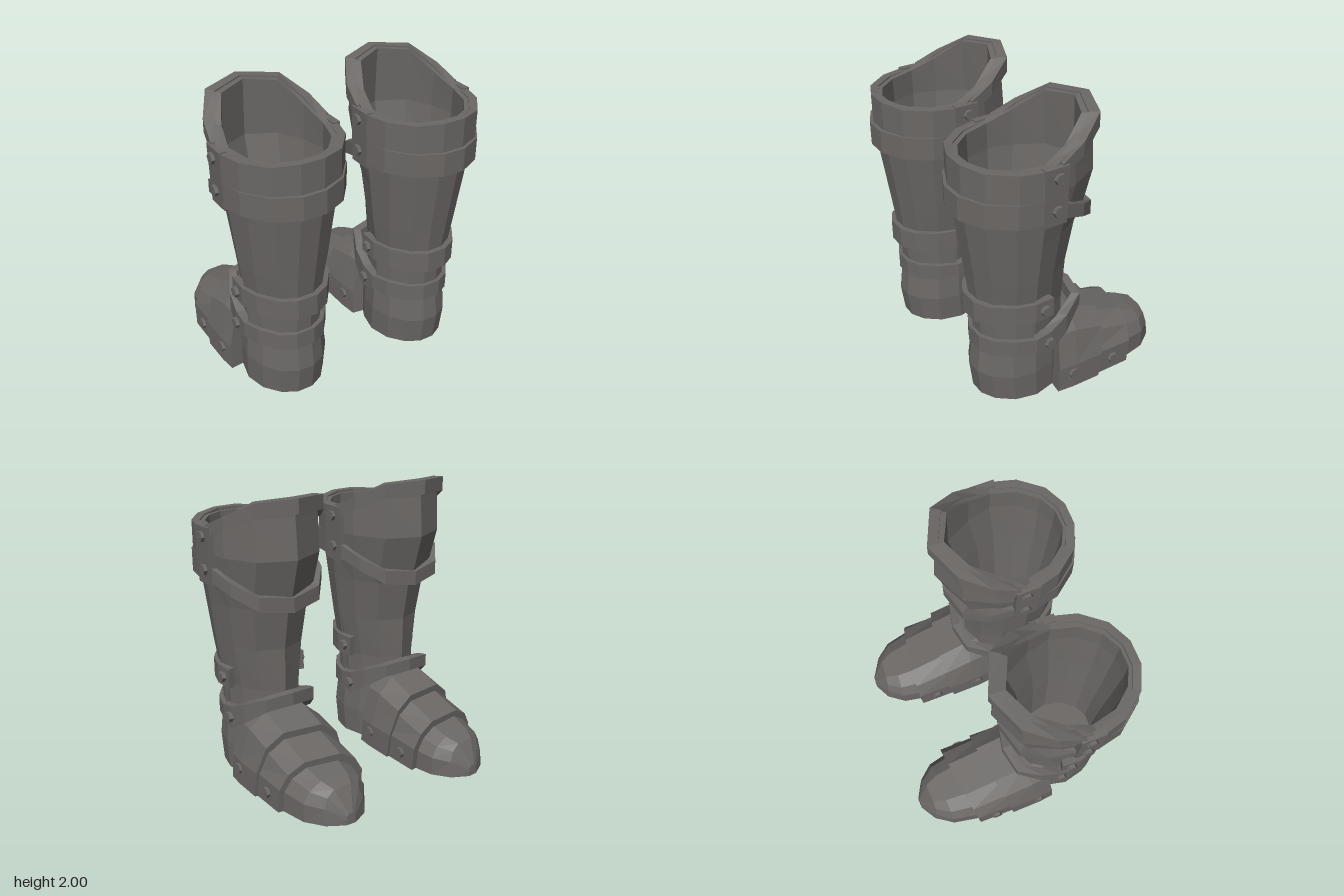
import * as THREE from 'three';

const iron = new THREE.MeshStandardMaterial({ color: 0x6a6765 });
iron.name = 'dark iron';

// Closed solid through a list of equal cross-sections; capped, or joined end to end when ring is true
function loft(name, sections, ring = false) {
  const m = sections.length, n = sections[0].length, tris = [];
  for (let i = 0; i < (ring ? m : m - 1); i++) {
    const A = sections[i], B = sections[(i + 1) % m];
    for (let j = 0; j < n; j++) {
      const k = (j + 1) % n;
      tris.push([A[j], A[k], B[k]], [A[j], B[k], B[j]]);
    }
  }
  if (!ring) {
    const cap = (s, flip) => {
      const c = [0, 1, 2].map(q => s.reduce((t, p) => t + p[q], 0) / n);
      s.forEach((p, j) => {
        const r = s[(j + 1) % n];
        tris.push(flip ? [c, r, p] : [c, p, r]);
      });
    };
    cap(sections[0], true);
    cap(sections[m - 1], false);
  }
  // Turn the faces outwards using the signed volume
  let volume = 0;
  for (const [a, b, c] of tris) {
    volume += a[0] * (b[1] * c[2] - b[2] * c[1]) + a[1] * (b[2] * c[0] - b[0] * c[2])
      + a[2] * (b[0] * c[1] - b[1] * c[0]);
  }
  const ordered = volume < 0 ? tris.map(([a, b, c]) => [a, c, b]) : tris;
  const geometry = new THREE.BufferGeometry();
  geometry.setAttribute('position', new THREE.Float32BufferAttribute(ordered.flat(2), 3));
  geometry.computeVertexNormals();
  const mesh = new THREE.Mesh(geometry, iron);
  mesh.name = name;
  return mesh;
}

// Other half of a path on +x, in reverse; a point on the centre line is kept once
const reflected = half => half.filter(p => p[0] !== 0).map(p => [-p[0], ...p.slice(1)]).reverse();
const aroundBack = half => [...half, ...reflected(half)];
const acrossFront = half => [...reflected(half), ...half];

// Outline of the leg: peaked at the shin, rounded at the calf
const OUTLINE = [[0, -1], [0.6, -0.77], [0.88, -0.32], [1, 0.1], [0.87, 0.53], [0.56, 0.84], [0.2, 0.99]];

// Ring with half width a between zf and zb; y is a number or one height per outline point
function legRing(y, a, zf, zb) {
  const c = (zf + zb) / 2, b = (zb - zf) / 2;
  return aroundBack(OUTLINE.map(([u, v], i) => [u * a, Array.isArray(y) ? y[i] : y, c + v * b]));
}

// Flat strap along points [x, z, yLow, yHigh]
function strap(name, path, thickness, ring = false) {
  return loft(name, path.map(([x, z, lo, hi]) => {
    const d = Math.hypot(x, z - 0.3);
    const xi = x - thickness * x / d, zi = z - thickness * (z - 0.3) / d;
    return [[x, lo, z], [x, hi, z], [xi, hi, zi], [xi, lo, zi]];
  }), ring);
}

// Arched foot plate through stations [zBottom, zTop, halfWidth, height], skewed towards the inner side
function footPlate(name, stations, skew) {
  return loft(name, stations.map(([z0, z1, w, h]) =>
    aroundBack([[w, 0], [w * 0.99, Math.min(0.18, h * 0.5)], [w * 0.8, h * 0.8], [w * 0.43, h]])
      .map(([x, y]) => [x, y, z0 + (z1 - z0) * y / h + skew * x])));
}

function bolt(x, y, z) {
  const g = new THREE.CylinderGeometry(0.036, 0.04, 0.05, 6).toNonIndexed();
  g.computeVertexNormals();
  g.rotateZ(-Math.sign(x) * Math.PI / 2);
  const mesh = new THREE.Mesh(g, iron);
  mesh.position.set(x, y, z);
  mesh.name = 'bolt';
  return mesh;
}

function createBoot(side) {
  const boot = new THREE.Group();
  boot.name = side > 0 ? 'leftBoot' : 'rightBoot';

  // Hollow leg: up the outside, over the flared knee cuff and down the lining to the insole
  const rimY = [1.99, 1.97, 1.85, 1.78, 1.77, 1.77, 1.77];
  boot.add(loft('hollowLeg', [
    legRing(0.3, 0.26, -0.02, 0.61), legRing(0.5, 0.245, -0.005, 0.6),
    legRing(0.65, 0.25, -0.005, 0.61), legRing(0.95, 0.3, -0.01, 0.65),
    legRing(1.25, 0.34, -0.065, 0.69),
    legRing([1.29, 1.32, 1.4, 1.45, 1.45, 1.45, 1.45], 0.375, -0.1, 0.72),
    legRing(1.6, 0.396, -0.19, 0.745),
    legRing([1.88, 1.87, 1.78, 1.72, 1.7, 1.7, 1.7], 0.398, -0.17, 0.75),
    legRing(rimY, 0.398, -0.175, 0.75),
    legRing(rimY, 0.325, -0.1, 0.685),
    legRing(1.6, 0.33, -0.11, 0.68),
    legRing(1.25, 0.295, -0.025, 0.645),
    legRing(0.95, 0.262, 0.015, 0.61),
    legRing(0.55, 0.225, 0.02, 0.575)]));

  // Calf shell over the rear half
  const calfLevels = [[0.4, 0.26, 0.622], [0.65, 0.262, 0.635], [0.95, 0.31, 0.672], [1.45, 0.372, 0.74]];
  const calf = aroundBack([[1, 0.36], ...OUTLINE.slice(4)]);
  boot.add(loft('calfShell', calf.map(([u, v]) => {
    const at = inset => calfLevels.map(([y, a, zb]) => {
      const z = v === 0.36 ? 0.36 : 0.3 + (v - 0.05) / 0.94 * (zb - 0.3) - inset;
      return [u * (a - inset), y, z];
    });
    return [...at(0), ...at(0.02).reverse()];
  })));

  // Trims and collar around the cuff
  boot.add(strap('rimTrim', acrossFront([[0, -0.21, 1.9, 2], [0.26, -0.1, 1.88, 1.98],
    [0.37, 0.09, 1.79, 1.88], [0.405, 0.26, 1.72, 1.8]]), 0.07));
  boot.add(strap('kneeTrim', acrossFront([[0, -0.14, 1.24, 1.34], [0.23, -0.085, 1.27, 1.37],
    [0.35, 0.06, 1.36, 1.45], [0.4, 0.25, 1.43, 1.53]]), 0.06));
  boot.add(strap('upperCollar', aroundBack([[0.405, 0.385, 1.58, 1.78], [0.365, 0.53, 1.58, 1.78],
    [0.24, 0.685, 1.58, 1.78], [0.08, 0.755, 1.58, 1.79]]), 0.055));
  boot.add(strap('lowerCollar', aroundBack([[0.403, 0.385, 1.43, 1.59], [0.37, 0.54, 1.43, 1.59],
    [0.245, 0.7, 1.43, 1.59], [0.08, 0.78, 1.43, 1.59]]), 0.06));

  // Calf strap and slanted ankle strap
  boot.add(strap('calfStrap', aroundBack([[0.305, 0.23, 0.65, 0.79], [0.31, 0.37, 0.65, 0.79],
    [0.27, 0.5, 0.65, 0.79], [0.175, 0.63, 0.645, 0.79], [0.07, 0.685, 0.64, 0.79]]), 0.05));
  boot.add(strap('ankleStrap', aroundBack([[0, -0.1, 0.57, 0.66], [0.19, -0.06, 0.55, 0.64],
    [0.27, 0.1, 0.43, 0.57], [0.295, 0.24, 0.345, 0.51], [0.295, 0.35, 0.38, 0.49],
    [0.255, 0.48, 0.38, 0.5], [0.165, 0.6, 0.38, 0.5], [0.065, 0.65, 0.38, 0.5]]), 0.06, true));

  // Heel
  boot.add(loft('heel', [legRing(0, 0.272, -0.05, 0.64), legRing(0.2, 0.28, -0.05, 0.665),
    legRing(0.42, 0.262, -0.03, 0.635)]));

  // Forefoot: two overlapping plates and the toe cap
  const foot = new THREE.Group();
  foot.name = 'forefoot';
  foot.position.x = side * 0.02;
  const skew = side * 0.14;
  foot.add(footPlate('instepPlate', [[0.15, 0.12, 0.31, 0.53], [0.03, -0.02, 0.322, 0.525],
    [-0.18, -0.24, 0.325, 0.455]], skew));
  foot.add(footPlate('middlePlate', [[-0.08, -0.15, 0.305, 0.43], [-0.44, -0.47, 0.305, 0.335]], skew));
  foot.add(footPlate('toeCap', [[-0.36, -0.4, 0.28, 0.305], [-0.6, -0.6, 0.235, 0.255],
    [-0.72, -0.69, 0.15, 0.225], [-0.785, -0.78, 0.035, 0.075]], side * 0.05));
  boot.add(foot);

  // Bolts and side tabs on both sides
  for (const s of [-1, 1]) {
    const tab = new THREE.Mesh(new THREE.BoxGeometry(0.05, 0.39, 0.165), iron);
    tab.name = 'sideTab';
    tab.position.set(s * 0.383, 1.595, 0.305);
    tab.rotation.z = -s * 0.04;
    boot.add(tab, bolt(s * 0.41, 1.72, 0.295), bolt(s * 0.402, 1.5, 0.295),
      bolt(s * 0.31, 0.72, 0.3), bolt(s * 0.295, 0.43, 0.25));
    foot.add(bolt(s * 0.31, 0.12, 0.03 + skew * s * 0.32), bolt(s * 0.3, 0.09, -0.31 + skew * s * 0.32));
  }
  boot.position.x = side * 0.512;
  return boot;
}

export function createModel() {
  const model = new THREE.Group();
  model.name = 'armouredBoots';
  model.add(createBoot(1), createBoot(-1));
  return model;
}
